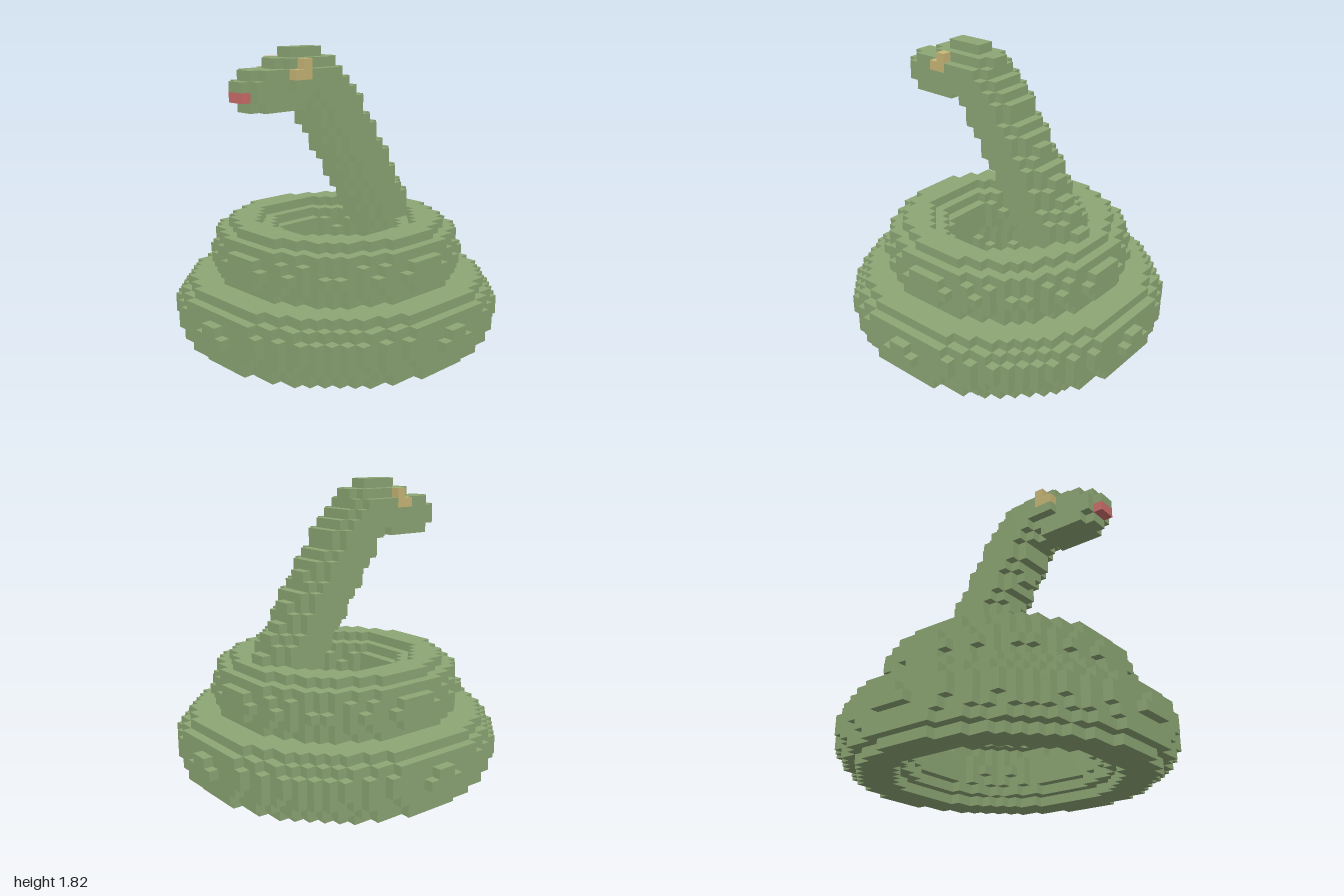
import * as THREE from 'three';

const UNIT = 2 / 34; // edge of one block
const HALF = 17, LAYERS = 31;

const scaleGreen = new THREE.MeshStandardMaterial({ color: 0x8da775 });
scaleGreen.name = 'scaleGreen';
const eyeYellow = new THREE.MeshStandardMaterial({ color: 0xc9b878 });
eyeYellow.name = 'eyeYellow';
const tongueRed = new THREE.MeshStandardMaterial({ color: 0xcd6f6c });
tongueRed.name = 'tongueRed';

// Body ring: round tube of radius r bent around the y axis
const ring = (x, y, z, major, r, cy) =>
  (Math.hypot(x, z) - major) ** 2 + (y - cy) ** 2 <= r * r;

// Neck: back and front edge of each layer from layer 10 upward
const NECK_BASE = 10;
const neckBack = [-12, -11, -10, -10, -9, -9, -8, -7, -7, -6, -5, -5, -4, -3, -2, -2, -1, 0, 1];
const neckFront = [-4, -4, -3, -2, -2, -1, 0, 0, 1, 1, 2, 3, 3, 4, 4, 5, 6, 6, 7];

function inNeck(x, y, z) {
  const i = Math.floor(y) - NECK_BASE;
  if (i < 0 || i >= neckBack.length) return false;
  const mid = (neckBack[i] + neckFront[i]) / 2;
  const half = (neckFront[i] - neckBack[i]) / 2;
  return (x / 3.05) ** 2 + ((z - mid) / half) ** 2 <= 1;
}

// Head: an egg-shaped skull with a tapering snout
function inHead(x, y, z) {
  const skull = (x / 2.9) ** 2 + ((y - 28) / 2.9) ** 2 + ((z - 5) / 4.5) ** 2 <= 1;
  const t = THREE.MathUtils.clamp((z - 5) / 5.5, 0, 1);
  const r = 2.9 - 0.75 * t;
  const snout = x * x + (y - 28 + t) ** 2 + (z - 5 - 5.5 * t) ** 2 <= r * r;
  return skull || (z > 5 && snout);
}

function inEye(x, y, z) {
  const ax = Math.abs(x);
  if (ax < 2 || ax > 3 || z < 6) return false;
  return (y > 28 && y < 29 && z < 8) || (y > 29 && y < 30 && z < 7);
}

const inTongue = (x, y, z) => Math.abs(x) < 1 && y > 26 && y < 27 && z > 12 && z < 13;

// Parts in order of priority; each block belongs to the first part that claims it
const PARTS = [
  ['eyes', eyeYellow, inEye],
  ['tongue', tongueRed, inTongue],
  ['head', scaleGreen, inHead],
  ['neck', scaleGreen, inNeck],
  ['upperCoil', scaleGreen, (x, y, z) => ring(x, y, z, 9.55, 3.25, 9.5)],
  ['lowerCoil', scaleGreen, (x, y, z) => y < 7 && ring(x, y, z, 12.93, 3.7, 3.7)],
];

// The three axes of a block; each gives two opposite faces
const AXES = [
  [[1, 0, 0], [0, 1, 0], [0, 0, 1]],
  [[0, 1, 0], [0, 0, 1], [1, 0, 0]],
  [[0, 0, 1], [1, 0, 0], [0, 1, 0]],
];

export function createModel() {
  const group = new THREE.Group();
  group.name = 'coiledSnake';

  // Fill the block grid with part numbers
  const key = (i, j, k) => ((j + 1) * 40 + k + 20) * 40 + i + 20;
  const owner = new Map();
  const cells = PARTS.map(() => []);
  for (let j = 0; j < LAYERS; j++)
    for (let k = -HALF; k < HALF; k++)
      for (let i = -HALF; i < HALF; i++) {
        const p = PARTS.findIndex(([, , test]) => test(i + 0.5, j + 0.5, k + 0.5));
        if (p < 0) continue;
        owner.set(key(i, j, k), p);
        cells[p].push([i, j, k]);
      }

  // Build each part from the exposed faces of its blocks
  PARTS.forEach(([name, material], p) => {
    const positions = [], normals = [];
    for (const [i, j, k] of cells[p]) {
      for (const [n, u, v] of AXES) {
        for (const s of [1, -1]) {
          if (owner.has(key(i + s * n[0], j + s * n[1], k + s * n[2]))) continue;
          const corner = (a, b) => [i, j, k].map((c, d) =>
            (c + 0.5 + (s * n[d] + a * s * u[d] + b * v[d]) / 2) * UNIT);
          const quad = [corner(-1, -1), corner(1, -1), corner(1, 1), corner(-1, 1)];
          for (const q of [0, 1, 2, 0, 2, 3]) {
            positions.push(...quad[q]);
            normals.push(s * n[0], s * n[1], s * n[2]);
          }
        }
      }
    }
    const geometry = new THREE.BufferGeometry();
    geometry.setAttribute('position', new THREE.Float32BufferAttribute(positions, 3));
    geometry.setAttribute('normal', new THREE.Float32BufferAttribute(normals, 3));
    const mesh = new THREE.Mesh(geometry, material);
    mesh.name = name;
    group.add(mesh);
  });
  return group;
}
